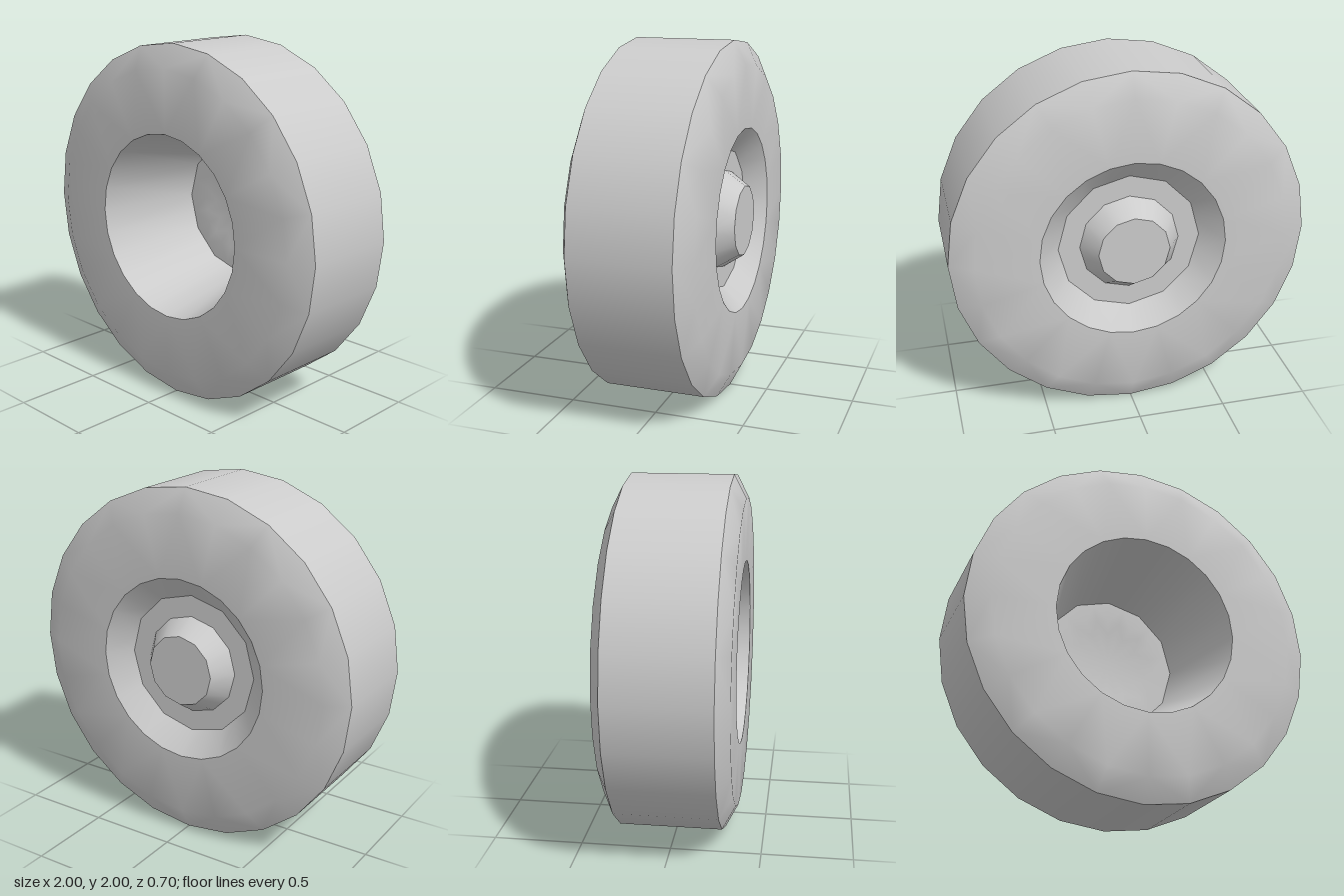
import * as THREE from 'three';
import { toCreasedNormals } from 'three/addons/utils/BufferGeometryUtils.js';

const SIDES = 24;
const material = new THREE.MeshStandardMaterial({ color: 0xcccccc });

// Point i of a ring; a 12-sided ring places its odd points halfway along its edges
function ringPoint([r, z, sides], i) {
  const a = (i / SIDES) * Math.PI * 2;
  const odd = sides === 12 && i % 2 === 1;
  const radius = odd ? r * Math.cos(Math.PI / 12) : r;
  return [radius * Math.cos(a), 1 + radius * Math.sin(a), z];
}

// Lofts a list of rings [radius, z, sides] around the z axis, front to back
function loft(name, rings) {
  const pos = [];
  for (let k = 0; k < rings.length - 1; k++) {
    const [a, b] = [rings[k], rings[k + 1]];
    for (let i = 0; i < SIDES; i++) {
      const j = (i + 1) % SIDES;
      const [a0, a1, b0, b1] = [ringPoint(a, i), ringPoint(a, j), ringPoint(b, i), ringPoint(b, j)];
      // Flip the diagonal on odd segments so the facets mirror evenly
      if (i % 2 === 0) {
        if (b[0] > 0) pos.push(...a0, ...b0, ...b1);
        if (a[0] > 0) pos.push(...a0, ...b1, ...a1);
      } else {
        if (a[0] > 0) pos.push(...a0, ...b0, ...a1);
        if (b[0] > 0) pos.push(...(a[0] > 0 ? a1 : a0), ...b0, ...b1);
      }
    }
  }
  const geo = new THREE.BufferGeometry();
  geo.setAttribute('position', new THREE.Float32BufferAttribute(pos, 3));
  const mesh = new THREE.Mesh(toCreasedNormals(geo, THREE.MathUtils.degToRad(40)), material);
  mesh.name = name;
  return mesh;
}

export function createModel() {
  const group = new THREE.Group();
  group.name = 'wheel';
  const plateZ = -0.235;

  // Tyre: deep front well, face, chamfer, tread, chamfer, back face, shallow back well
  group.add(loft('tyre', [
    [0.4, plateZ, 12],
    [0.52, 0.352, 24],
    [0.87, 0.352, 24],
    [1, 0.284, 24],
    [1, -0.28, 24],
    [0.87, -0.347, 24],
    [0.52, -0.347, 24],
    [0.4, plateZ, 12],
  ]));

  // Front of the wheel plate with a very shallow dish
  group.add(loft('frontPlate', [
    [0, plateZ - 0.015, 12],
    [0.2, plateZ - 0.015, 12],
    [0.28, plateZ, 12],
    [0.4, plateZ, 12],
  ]));

  // Back of the wheel plate with the tapered hub
  group.add(loft('backPlateAndHub', [
    [0.4, plateZ, 12],
    [0.28, plateZ, 12],
    [0.2, -0.352, 12],
    [0, -0.352, 12],
  ]));

  return group;
}
